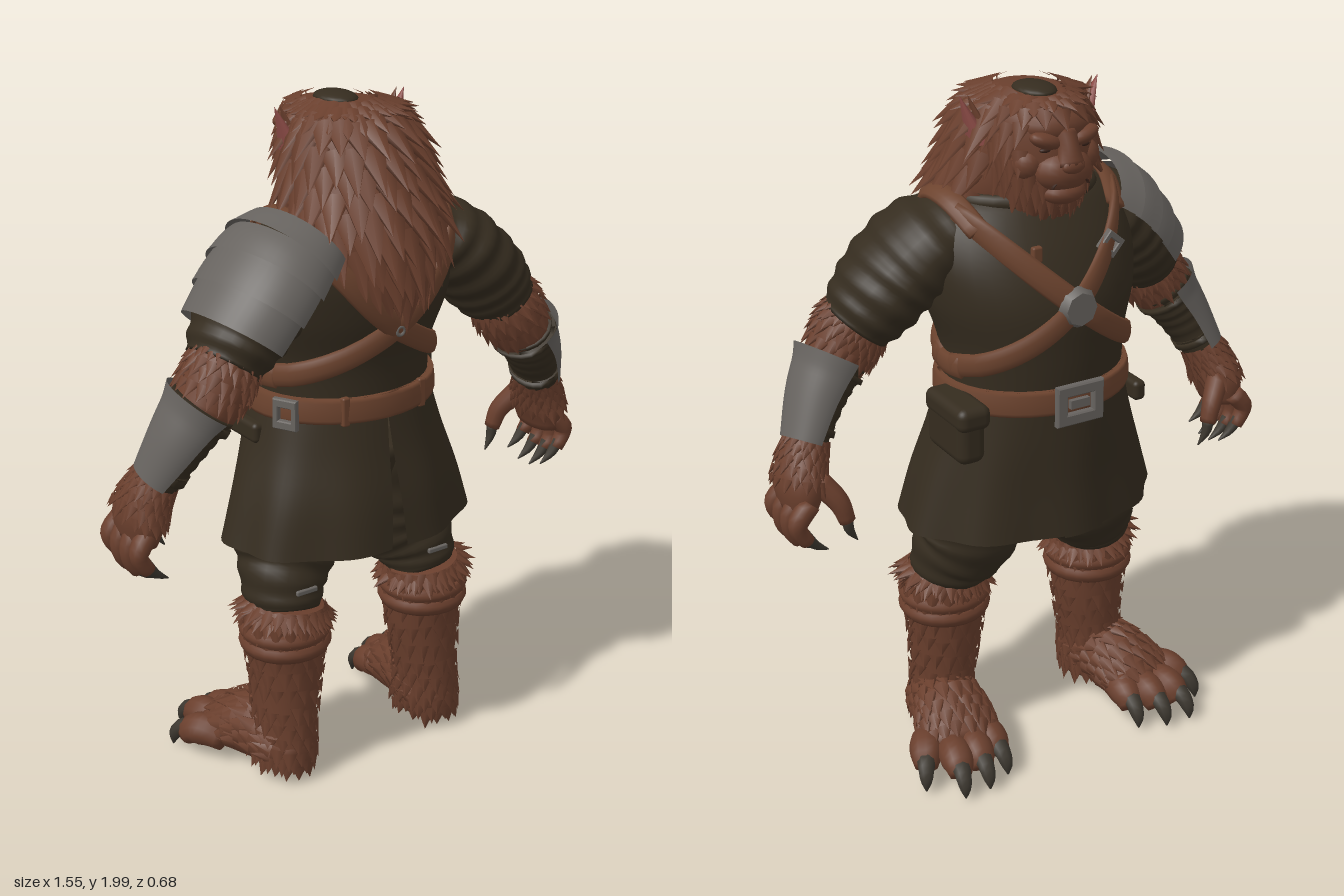
import * as THREE from 'three';
import { mergeGeometries } from 'three/addons/utils/BufferGeometryUtils.js';
import { RoundedBoxGeometry } from 'three/addons/geometries/RoundedBoxGeometry.js';

const mat = (name, color, side = THREE.FrontSide) => {
  const m = new THREE.MeshStandardMaterial({ color, side });
  m.name = name;
  return m;
};
const FUR = mat('fur brown', 0x6a3f2d), LEATHER = mat('leather brown', 0x6c432e);
const CLOTH = mat('dark olive cloth', 0x352c1f, THREE.DoubleSide);
const METAL = mat('grey metal', 0x67635f, THREE.DoubleSide);
const CLAW = mat('claw grey', 0x3d3830), EAR = mat('ear pink', 0x8a4a45), DARK = mat('dark brown', 0x3a231a);

const V = (x, y, z) => new THREE.Vector3(x, y, z);
const X = V(1, 0, 0), Y = V(0, 1, 0), Z = V(0, 0, 1), DOWN = V(0, -1, 0), TAU = Math.PI * 2, rad = Math.PI / 180;
const flat = () => 1;
let seed = 7;
const rnd = () => (seed = (seed * 16807) % 2147483647) / 2147483647;

// Swept elliptical surface through stations [x, y, z, ra, rb]; going down, angle 90 degrees faces -z.
// A given axis keeps every section square to it.
function surf(stations, ref = Z, mod = flat, axis = null) {
  const curve = (pts) => new THREE.CatmullRomCurve3(pts, false, 'catmullrom');
  const C = curve(stations.map((p) => V(p[0], p[1], p[2])));
  const R = curve(stations.map((p) => V(p[3], p[4] ?? p[3], 0)));
  const f = (s, a) => {
    const c = C.getPoint(s), t = axis ?? C.getTangent(s), r = R.getPoint(s), m = mod(s, a);
    const u = t.clone().cross(typeof ref === 'function' ? ref(c) : ref).normalize();
    const v = t.clone().cross(u);
    return c.addScaledVector(u, Math.cos(a) * r.x * m).addScaledVector(v, Math.sin(a) * r.y * m);
  };
  f.mid = (s) => C.getPoint(s);
  f.rad = (s) => R.getPoint(s);
  return f;
}

// Skin a swept surface; open sheets use the angle range from range(s)
function skin(f, ns = 16, nt = 20, range = null) {
  const pos = [], idx = [], cols = range ? nt + 1 : nt;
  for (let i = 0; i <= ns; i++) for (let j = 0; j < cols; j++) {
    const [a0, a1] = range ? range(i / ns) : [0, TAU];
    pos.push(...f(i / ns, a0 + (a1 - a0) * j / nt).toArray());
  }
  for (let i = 0; i < ns; i++) for (let j = 0; j < nt; j++) {
    const a = i * cols + j, b = i * cols + (j + 1) % cols;
    idx.push(a, b, a + cols, b, b + cols, a + cols);
  }
  if (!range) {
    const n = pos.length / 3;
    pos.push(...f.mid(0).toArray(), ...f.mid(1).toArray());
    for (let j = 0; j < nt; j++) {
      const k = (j + 1) % nt;
      idx.push(n, k, j, n + 1, ns * cols + j, ns * cols + k);
    }
  }
  const g = new THREE.BufferGeometry();
  g.setAttribute('position', new THREE.Float32BufferAttribute(pos, 3));
  g.setIndex(idx);
  g.computeVertexNormals();
  return g;
}

// Rows of overlapping pointed locks laid along a swept surface
function locks(f, rows, per, len, wid, { s0 = 0.02, s1 = 0.95, a0 = 0, a1 = TAU, lift = 0.35 } = {}) {
  const out = [];
  for (let i = 0; i < rows; i++) for (let j = 0; j < per; j++) {
    const s = Math.min(0.98, s0 + (s1 - s0) * (i + rnd() * 0.4) / rows);
    const a = a0 + (a1 - a0) * (j + 0.5 * (i % 2) + 0.3 * rnd()) / per;
    const p = f(s, a), ds = f(s + 0.01, a).sub(p), da = f(s, a + 0.02).sub(p);
    const n = da.cross(ds).normalize(), d = ds.normalize().addScaledVector(n, lift).normalize();
    const x = d.clone().cross(n).normalize(), z = x.clone().cross(d), k = 0.8 + 0.4 * rnd();
    const g = new THREE.ConeGeometry(1, 1, 6, 1, true).translate(0, 0.4, 0);
    g.scale(wid, len * k, wid * 0.45);
    g.applyMatrix4(new THREE.Matrix4().makeBasis(x, d, z).setPosition(p));
    out.push(g);
  }
  return mergeGeometries(out);
}

function add(parent, name, geo, m, x = 0, y = 0, z = 0) {
  const mesh = new THREE.Mesh(geo, m);
  mesh.name = name;
  mesh.position.set(x, y, z);
  parent.add(mesh);
  return mesh;
}
const ball = (parent, name, m, x, y, z, rx, ry, rz) =>
  add(parent, name, new THREE.SphereGeometry(1, 18, 12).scale(rx, ry, rz), m, x, y, z);

// Torso form, also used to seat the straps
const torso = surf([[0, 1.72, .04, .15, .13], [0, 1.66, .04, .27, .19], [0, 1.55, .02, .32, .24],
  [0, 1.42, -.01, .31, .255], [0, 1.28, -.03, .27, .235], [0, 1.13, -.03, .265, .225]], Z, flat, DOWN);
function seat(x, y, side) {
  let lo = 0, hi = 1;
  for (let i = 0; i < 24; i++) { const m = (lo + hi) / 2; torso.mid(m).y > y ? lo = m : hi = m; }
  const c = torso.mid(lo), r = torso.rad(lo), q = Math.max(-.995, Math.min(.995, x / r.x));
  return V(q * r.x * 1.02, y, c.z + side * (r.y * Math.sqrt(1 - q * q) + .008));
}
function strap(parent, name, pts, side) {
  const path = new THREE.CatmullRomCurve3(pts.map(([x, y]) => V(x, y, 0)));
  const st = path.getPoints(18).map((p) => [...seat(p.x, p.y, side).toArray(), .034, .014]);
  add(parent, name, skin(surf(st, (c) => V(c.x / .09, 0, c.z / .055).normalize()), 32, 10), LEATHER);
}

// Right arm, mirrored for the left
function buildArm() {
  const g = new THREE.Group();
  const ridges = (s) => 1 + .03 * Math.sin(s * 38);
  add(g, 'sleeve', skin(surf([[-.19, 1.62, .05, .075, .13], [-.28, 1.56, .07, .115, .17], [-.36, 1.485, .09, .12, .172],
    [-.425, 1.41, .1, .118, .15], [-.475, 1.345, .112, .1, .115]], Z, ridges), 40, 24), CLOTH);
  const elbow = surf([[-.45, 1.38, .11, .085], [-.49, 1.32, .12, .097, .1], [-.55, 1.23, .12, .085, .095]]);
  add(g, 'furryElbow', skin(elbow, 10), FUR);
  add(g, 'elbowFur', locks(elbow, 5, 18, .05, .024, { s1: .85 }), FUR);
  const fore = [[-.54, 1.255, .12, .096, .108], [-.6, 1.165, .1, .08, .095], [-.662, 1.05, .065, .06, .075]];
  add(g, 'forearmSleeve', skin(surf(fore, Z, (s) => .94 + .025 * Math.sin(s * 40)), 24), CLOTH);
  const flare = (s, a) => 1.09 + .2 * Math.max(0, .22 - s) * (1 + Math.cos(a));
  add(g, 'bracer', skin(surf(fore, Z, flare), 16, 24, (s) => [(-95 + 20 * s) * rad, 95 * rad]), METAL);
  for (const s of [.15, .85]) {
    const f = surf(fore), r = f.rad(s);
    add(g, 'bracerStrap', skin(surf([f.mid(s - .05), f.mid(s + .05)].map((p) => [...p.toArray(), r.x * 1.05, r.y * 1.05])), 2), CLOTH);
  }
  const hand = surf([[-.655, 1.06, .065, .055, .065], [-.68, 1.01, .05, .063, .08], [-.7, .95, .035, .065, .1], [-.71, .88, .03, .045, .085]]);
  add(g, 'hand', skin(hand, 12), FUR);
  add(g, 'wristFur', locks(hand, 5, 16, .04, .02, { s1: .7, lift: .25 }), FUR);
  for (let i = 0; i < 4; i++) {
    const z = .105 - i * .052, o = i % 3 ? 0 : .02;
    add(g, 'finger', skin(surf([[-.705, .92, z * .9, .03], [-.742, .88, z, .029], [-.745, .83 + o, z, .025], [-.72, .79 + o, z, .022]]), 8, 10), FUR);
    add(g, 'fingerClaw', skin(surf([[-.728, .81 + o, z, .019], [-.7, .775 + o, z, .014], [-.66, .75 + o, z, .002]]), 5, 8), CLAW);
  }
  add(g, 'thumb', skin(surf([[-.67, .97, -.02, .035], [-.625, .91, -.055, .03], [-.605, .85, -.065, .024]]), 8, 10), FUR);
  add(g, 'thumbClaw', skin(surf([[-.607, .86, -.065, .018], [-.6, .82, -.065, .014], [-.575, .78, -.06, .002]]), 5, 8), CLAW);
  return g;
}

// Right leg, mirrored for the left
function buildLeg() {
  const g = new THREE.Group();
  add(g, 'trouserLeg', skin(surf([[-.13, 1.0, -.02, .15, .17], [-.185, .8, -.02, .16, .165], [-.205, .68, -.01, .15, .145],
    [-.235, .6, .02, .125, .125], [-.245, .53, .04, .105, .11]], Z, (s, a) => 1 + .025 * Math.sin(s * 38 + Math.sin(a) * 2)), 36, 24), CLOTH);
  add(g, 'kneePatch', new RoundedBoxGeometry(.07, .015, .012, 2, .004), METAL, -.235, .617, .143);
  const shin = surf([[-.245, .55, .05, .11, .11], [-.25, .5, .05, .122, .122], [-.25, .36, .05, .108, .108],
    [-.26, .2, .055, .09, .1], [-.265, .1, .05, .09, .112], [-.268, .05, .045, .088, .112]]);
  add(g, 'furryShin', skin(shin, 24), FUR);
  add(g, 'shinFur', locks(shin, 13, 16, .05, .026, { s1: .98, lift: .25 }), FUR);
  add(g, 'cuffFur', locks(shin, 2, 22, .06, .026, { s1: .12, lift: .45 }), FUR);
  for (const y of [.475, .435]) add(g, 'shinWrap', skin(surf([[-.25, y + .024, .05, .126], [-.25, y, .05, .136], [-.25, y - .024, .05, .125]]), 6, 24), FUR);
  const foot = surf([[-.262, .08, .15, .05, .04], [-.268, .1, .08, .09, .08], [-.285, .115, -.02, .1, .105],
    [-.305, .1, -.11, .115, .088], [-.325, .07, -.19, .11, .055]], Y);
  add(g, 'foot', skin(foot, 16), FUR);
  add(g, 'footFur', locks(foot, 8, 10, .06, .028, { s0: .2, a0: 165 * rad, a1: 375 * rad, lift: .15 }), FUR);
  // Splayed toes with curved claws
  for (const [x, z, ang] of [[-.24, -.165, -.08], [-.3, -.2, .08], [-.365, -.205, .22], [-.415, -.13, .5]]) {
    const at = (d, y, r) => [x - Math.sin(ang) * d, y, z - Math.cos(ang) * d, r];
    add(g, 'toe', skin(surf([at(-.06, .07, .038), at(0, .087, .049), at(.045, .078, .047), at(.075, .05, .032)], Y), 10, 12), FUR);
    add(g, 'toeClaw', skin(surf([at(.045, .085, .03), at(.09, .072, .026), at(.115, .04, .019), at(.122, .005, .002)], X), 8, 8), CLAW);
  }
  return g;
}

// Head, mane and face, looking towards -z
function buildHead() {
  const g = new THREE.Group();
  g.name = 'head';
  const skull = surf([[0, 1.965, -.04, .07, .09], [0, 1.94, -.035, .125, .165], [0, 1.87, -.035, .15, .18], [0, 1.78, -.035, .145, .18],
    [0, 1.68, -.015, .12, .165], [0, 1.6, .02, .09, .1]], Z, flat, DOWN);
  add(g, 'skull', skin(skull, 20, 28), FUR);
  add(g, 'crownFur', locks(skull, 3, 16, .055, .032, { s0: .04, s1: .26, lift: .15 }), FUR);
  const mane = surf([[0, 1.968, 0, .085, .09], [0, 1.93, .015, .155, .15], [0, 1.8, .045, .19, .19],
    [0, 1.68, .08, .215, .2], [0, 1.56, .12, .165, .165], [0, 1.46, .17, .06, .085]], Z, flat, DOWN);
  const back = { a0: 148 * rad, a1: 392 * rad };
  add(g, 'mane', skin(mane, 24, 28), FUR);
  add(g, 'topLocks', locks(mane, 3, 14, .08, .038, { ...back, s0: .01, s1: .2, lift: .2 }), FUR);
  add(g, 'maneLocks', locks(mane, 9, 15, .13, .046, { ...back, s0: .2, s1: .95, lift: .4 }), FUR);
  add(g, 'beardFur', locks(skull, 4, 12, .075, .026, { s0: .6, s1: .85, a0: 10 * rad, a1: 165 * rad, lift: .2 }), FUR);
  for (const a of [5, 138]) add(g, 'cheekFur', locks(skull, 6, 3, .07, .028, { s0: .3, s1: .75, a0: a * rad, a1: (a + 37) * rad }), FUR);
  ball(g, 'crownPatch', CLOTH, 0, 1.967, -.045, .055, .02, .075);
  ball(g, 'muzzle', FUR, 0, 1.785, -.185, .085, .06, .065);
  ball(g, 'chin', FUR, 0, 1.727, -.185, .065, .035, .055);
  ball(g, 'forehead', FUR, 0, 1.9, -.15, .1, .055, .07);
  add(g, 'noseBridge', skin(surf([[0, 1.89, -.195, .034, .03], [0, 1.85, -.215, .03, .03], [0, 1.805, -.23, .04, .03]]), 8, 12), FUR);
  ball(g, 'noseTip', FUR, 0, 1.807, -.243, .034, .02, .016);
  add(g, 'mouth', new THREE.TorusGeometry(.055, .005, 6, 16, Math.PI).scale(1, .4, 1), DARK, 0, 1.75, -.229);
  for (const s of [-1, 1]) {
    ball(g, 'brow', FUR, s * .055, 1.872, -.196, .05, .022, .03).rotation.z = s * .3;
    ball(g, 'eye', DARK, s * .058, 1.848, -.198, .018, .007, .01);
    ball(g, 'cheek', FUR, s * .085, 1.805, -.15, .045, .045, .045);
    // Outward-tilted ears with pink insides
    const ear = new THREE.Group();
    ear.name = 'ear';
    add(ear, 'earBack', new THREE.ConeGeometry(.05, .13, 12).scale(.4, 1, 1), FUR, -.014, .025, -.006);
    add(ear, 'earInside', new THREE.ConeGeometry(.05, .135, 14).scale(.55, 1, 1), EAR, .006, .03, 0);
    ear.position.set(s * .17, 1.885, -.022);
    ear.rotation.z = -s * .4;
    ear.scale.x = s;
    g.add(ear);
  }
  return g;
}

export function createModel() {
  const root = new THREE.Group();
  add(root, 'tunic', skin(torso, 28, 36), CLOTH);

  // Flared, pleated skirt with a slit at the back
  const pleat = (s, a) => 1 + .025 * s * Math.sin(a * 9);
  const skirt = surf([[0, 1.15, -.03, .27, .23], [0, 1.02, -.02, .305, .245], [0, .88, -.005, .35, .262], [0, .74, 0, .39, .275]], Z, pleat, DOWN);
  add(root, 'skirt', skin(skirt, 14, 90, (s) => [(-90 + 4 * s) * rad, (270 - 4 * s) * rad]), CLOTH);
  add(root, 'frontFlap', skin(skirt, 10, 8, (s) => [(84 - 8 * s) * rad, 96 * rad]), CLOTH).position.z = -.009;
  add(root, 'trouserSeat', skin(surf([[0, 1.0, -.01, .2, .18], [0, .85, -.01, .14, .14], [0, .75, 0, .06, .07]]), 8), CLOTH);

  // Belt, buckles and pouches
  const belt = surf([[0, 1.19, -.03, .27, .232], [0, 1.185, -.03, .283, .245], [0, 1.125, -.03, .287, .248], [0, 1.12, -.03, .27, .235]]);
  add(root, 'belt', skin(belt, 8, 40), LEATHER);
  const frame = new THREE.Shape([[-.07, -.055], [.07, -.055], [.07, .055], [-.07, .055]].map((p) => new THREE.Vector2(...p)));
  frame.holes.push(new THREE.Path([[-.045, -.03], [-.045, .03], [.045, .03], [.045, -.03]].map((p) => new THREE.Vector2(...p))));
  const buckle = new THREE.ExtrudeGeometry(frame, { depth: .014, bevelSize: .004, bevelThickness: .004, bevelSegments: 1 });
  add(root, 'beltBuckle', buckle, METAL, 0, 1.15, -.293);
  add(root, 'buckleBar', new THREE.BoxGeometry(.06, .025, .014), METAL, 0, 1.15, -.286);
  add(root, 'sideBuckle', buckle.clone().scale(.5, .75, 1).rotateY(-1.1), METAL, -.26, 1.15, .09);
  for (const x of [-.13, .13]) add(root, 'beltLoop', new RoundedBoxGeometry(.025, .085, .02, 2, .006), LEATHER, x, 1.155, seat(x, 1.15, 1).z + .008);
  add(root, 'pouch', new RoundedBoxGeometry(.085, .15, .2, 3, .03), CLOTH, .3, 1.085, -.135);
  add(root, 'pouchFlap', new RoundedBoxGeometry(.1, .07, .215, 3, .025), CLOTH, .295, 1.145, -.135);
  add(root, 'pocket', new RoundedBoxGeometry(.04, .06, .16, 3, .015), CLOTH, -.29, 1.065, -.08);

  // Crossed straps, shoulder straps, collar and chest disc
  for (const s of [-1, 1]) {
    strap(root, 'backStrap', [[s * .25, 1.665], [s * .06, 1.44], [-s * .1, 1.33], [-s * .27, 1.24]], 1);
    strap(root, 'chestStrap', [[s * .24, 1.665], [s * .14, 1.56], [0, 1.43], [-s * .13, 1.33], [-s * .27, 1.24]], -1);
    add(root, 'sideStrap', skin(surf([[s * .264, 1.243, .04, .034, .014], [s * .27, 1.235, -.03, .034, .014], [s * .264, 1.243, -.1, .034, .014]], X), 8, 10), LEATHER);
    add(root, 'shoulderStrap', skin(surf([[s * .245, 1.635, .15, .033, .014], [s * .248, 1.685, .1, .033, .014],
      [s * .248, 1.7, .04, .033, .014], [s * .24, 1.685, -.04, .033, .014], [s * .215, 1.63, -.12, .033, .014]], () => V(s * .5, 1, .1)), 16, 10), LEATHER);
  }
  add(root, 'strapBuckle', buckle.clone().scale(.4, .5, 1).rotateZ(.7), METAL, -.14, 1.56, seat(-.14, 1.56, -1).z - .02);
  add(root, 'chestTab', new RoundedBoxGeometry(.03, .045, .02, 2, .006), LEATHER, .09, 1.57, seat(.09, 1.57, -1).z);
  const collar = new THREE.TorusGeometry(.2, .022, 8, 32).rotateX(Math.PI / 2).scale(1, 1, .8);
  add(root, 'collar', collar, CLOTH, 0, 1.685, .03);
  add(root, 'chestDisc', new THREE.CylinderGeometry(.047, .06, .025, 8).rotateX(-Math.PI / 2), METAL, 0, 1.425, -.283);
  add(root, 'backRing', new THREE.TorusGeometry(.012, .005, 6, 14), METAL, 0, 1.385, seat(0, 1.385, 1).z + .014);

  // Limbs, mirrored left and right
  for (const [name, make] of [['Arm', buildArm], ['Leg', buildLeg]]) for (const s of [1, -1]) {
    const g = make();
    g.name = (s > 0 ? 'right' : 'left') + name;
    g.scale.x = s;
    root.add(g);
  }

  // Overlapping shoulder plates on the right side only
  const path = surf([[-.2, 1.62, .065, .13, .185], [-.27, 1.57, .075, .152, .2], [-.35, 1.495, .09, .148, .2], [-.425, 1.405, .1, .138, .175]]);
  for (let i = 0; i < 4; i++) {
    const st = [0, .5, 1].map((k) => {
      const s = i * .24 + k * .28, c = path.mid(s), r = path.rad(s), q = .995 + .07 * k;
      return [...c.toArray(), r.x * q, r.y * q];
    });
    add(root, 'shoulderPlate', skin(surf(st), 5, 24, () => [-98 * rad, 82 * rad]), METAL);
  }

  root.add(buildHead());
  return root;
}
